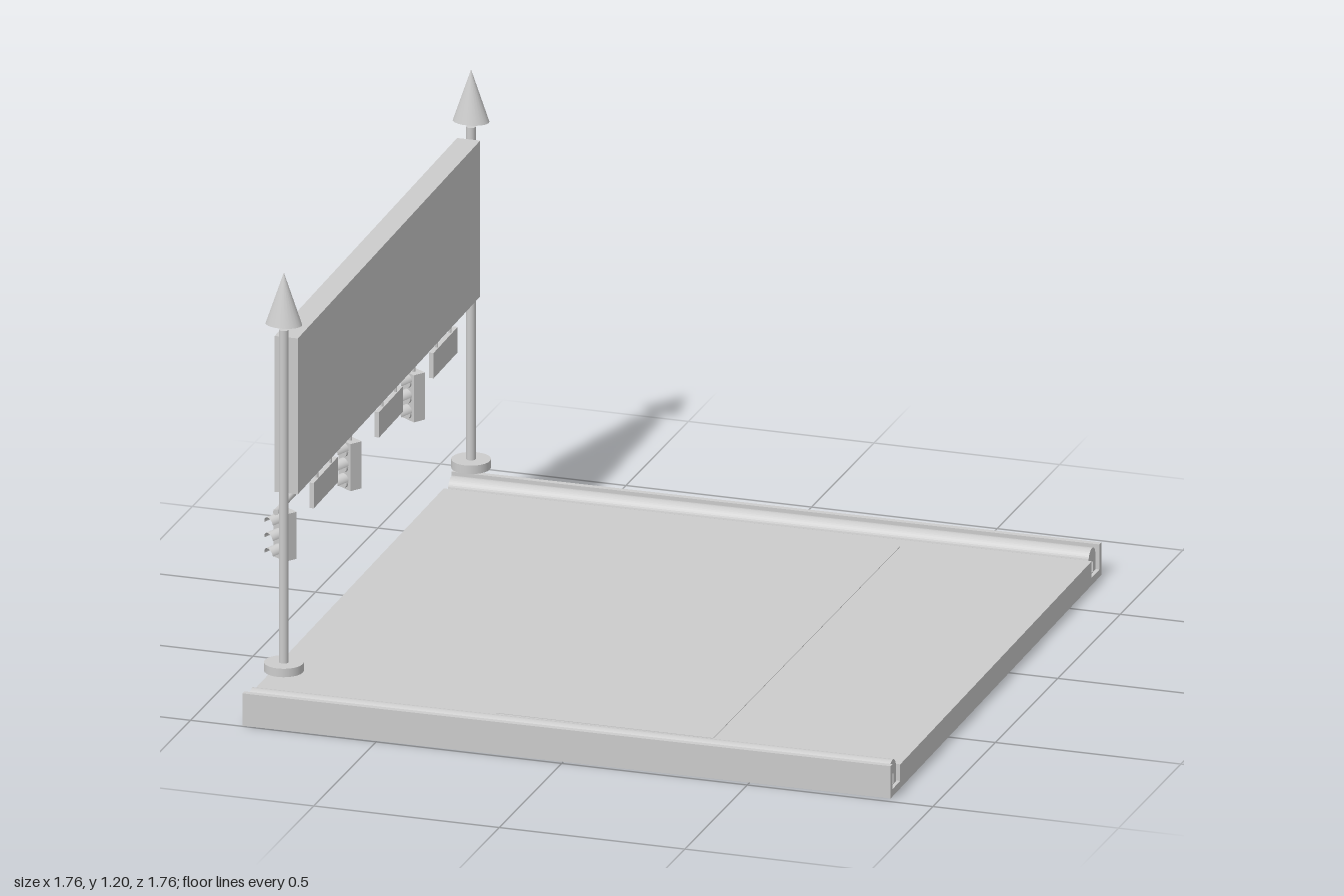
import * as THREE from 'three';

const grey = new THREE.MeshStandardMaterial({ color: 0xcccccc, side: THREE.DoubleSide });
grey.name = 'plain grey';

function add(parent, name, geometry, x = 0, y = 0, z = 0) {
  const mesh = new THREE.Mesh(geometry, grey);
  mesh.name = name;
  mesh.position.set(x, y, z);
  parent.add(mesh);
  return mesh;
}

const box = (w, h, d) => new THREE.BoxGeometry(w, h, d);

function group(parent, name, x = 0, y = 0, z = 0, turn = 0) {
  const g = new THREE.Group();
  g.name = name;
  g.position.set(x, y, z);
  g.rotation.y = turn;
  parent.add(g);
  return g;
}

// Extrude a (z, y) section along x
function alongX(shape, length) {
  const g = new THREE.ExtrudeGeometry(shape, { depth: length, bevelEnabled: false, curveSegments: 10 });
  g.rotateY(-Math.PI / 2);
  g.translate(length / 2, 0, 0);
  return g;
}

// Edge channel: floor, outer wall and a hollow rounded rail
function buildCurb(parent, turn) {
  const curb = group(parent, 'curb', 0, 0, 0, turn);
  add(curb, 'curbFloor', box(1.74, 0.02, 0.08), 0, 0.01, 0.83);
  add(curb, 'curbWall', box(1.74, 0.088, 0.016), 0, 0.044, 0.862);
  const arch = new THREE.Shape();
  arch.moveTo(-0.029, 0.02);
  arch.lineTo(0.029, 0.02);
  arch.lineTo(0.029, 0.059);
  arch.absarc(0, 0.059, 0.029, 0, Math.PI, false);
  arch.closePath();
  const slot = new THREE.Path();
  slot.moveTo(-0.009, 0.022);
  slot.lineTo(-0.009, 0.045);
  slot.absarc(0, 0.045, 0.009, Math.PI, 0, true);
  slot.lineTo(0.009, 0.022);
  slot.closePath();
  arch.holes.push(slot);
  add(curb, 'roundedRail', alongX(arch, 1.72), 0, 0, 0.823);
}

// Hanging signal with three hooded lamps
function buildSignal(parent, z) {
  const signal = group(parent, 'signal', -0.026, 0, z, -0.62);
  add(signal, 'signalHanger', new THREE.CylinderGeometry(0.005, 0.005, 0.03, 8), 0, 0.527, 0);
  add(signal, 'signalBody', box(0.05, 0.128, 0.036), 0, 0.453, 0);
  for (let i = -1; i <= 1; i++) {
    const y = 0.453 + i * 0.042;
    const lens = new THREE.CylinderGeometry(0.016, 0.016, 0.006, 16).rotateX(Math.PI / 2);
    add(signal, 'lens', lens, 0, y - 0.002, 0.02);
    const hood = new THREE.CylinderGeometry(0.018, 0.018, 0.036, 12, 1, true, Math.PI / 2, Math.PI).rotateX(Math.PI / 2);
    add(signal, 'hood', hood, 0, y, 0.035).rotation.x = 0.15;
  }
}

// Small plate hung from the rail by two rods
function buildHangingSign(parent, z) {
  const sign = group(parent, 'hangingSign', -0.024, 0, z);
  add(sign, 'signPlate', box(0.012, 0.069, 0.203), 0, 0.4825, 0);
  for (const side of [-1, 1]) {
    add(sign, 'signRod', new THREE.CylinderGeometry(0.004, 0.004, 0.024, 8), 0, 0.527, side * 0.057);
  }
}

export function createModel() {
  const model = new THREE.Group();
  model.name = 'streetSection';

  // Ground slab with its inset road strip and curbs
  const ground = group(model, 'ground', 0, 0, 0.117, 0.01);
  add(ground, 'slab', box(1.74, 0.065, 1.58), 0, 0.0325, 0);
  add(ground, 'roadStrip', box(0.585, 0.002, 1.495), 0.072, 0.0655, 0.006).rotation.y = -0.01;
  buildCurb(ground, 0);
  buildCurb(ground, Math.PI);

  // Gantry: two posts, a large board and a rail of signals
  const gantry = group(model, 'gantry', -0.803, 0, 0.089, 0.0165);
  for (const side of [-1, 1]) {
    const post = group(gantry, 'post', 0, 0, side * 0.788);
    add(post, 'postFoot', new THREE.CylinderGeometry(0.051, 0.051, 0.023, 24), 0, 0.129, 0);
    add(post, 'postShaft', new THREE.CylinderGeometry(0.0125, 0.0125, 0.905, 16), 0, 0.5925, 0);
    add(post, 'postCone', new THREE.ConeGeometry(0.048, 0.14, 24), 0, 1.13, 0).scale.z = 0.74;
  }
  add(gantry, 'board', box(0.062, 0.424, 1.536), 0, 0.805, 0);
  add(gantry, 'hangingRail', new THREE.CylinderGeometry(0.008, 0.008, 1.56, 10).rotateX(Math.PI / 2), -0.024, 0.542, 0);
  for (const z of [0.784, 0.237, -0.297]) buildSignal(gantry, z - 0.089);
  for (const z of [0.467, -0.083, -0.542]) buildHangingSign(gantry, z - 0.089);

  return model;
}
